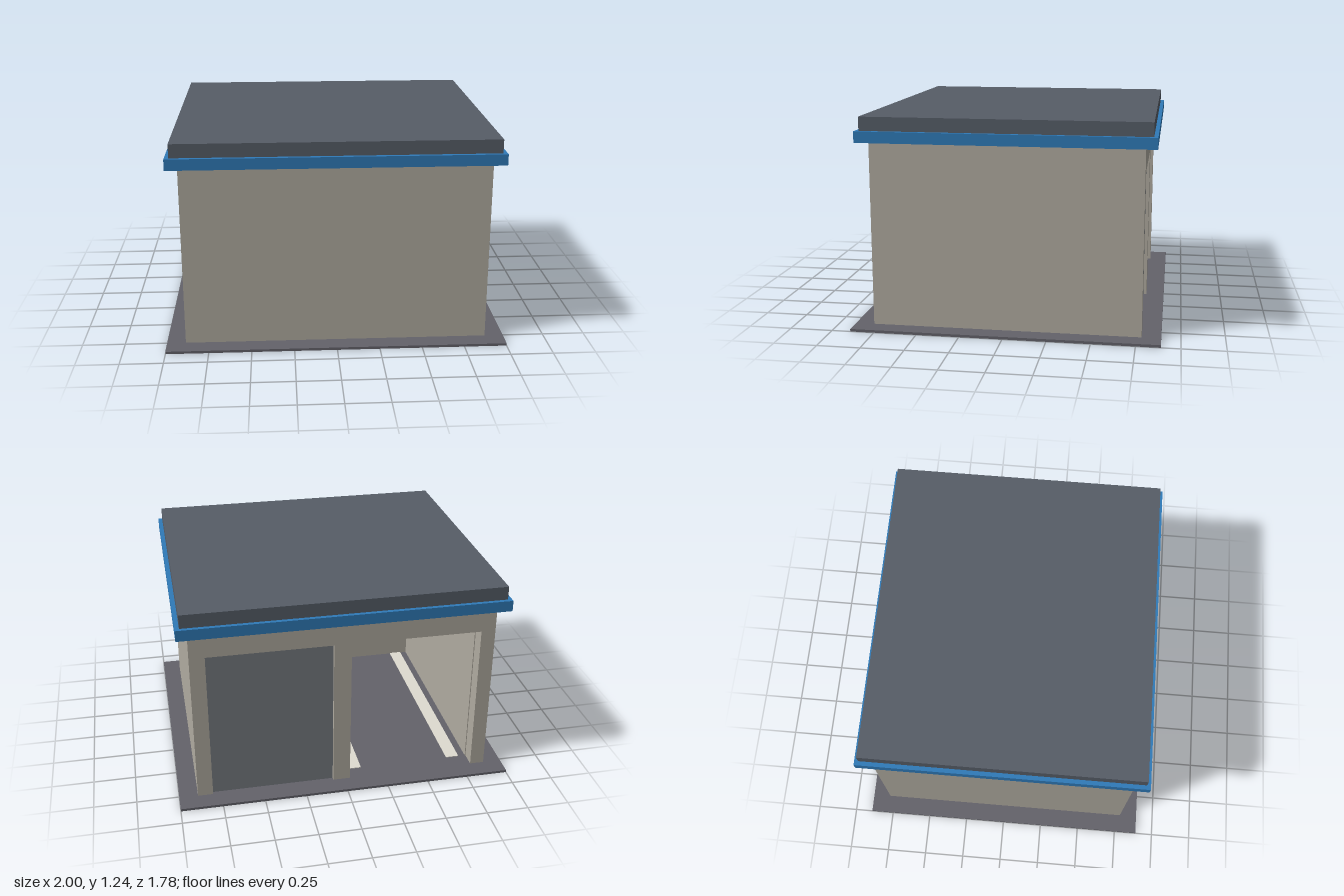
import * as THREE from 'three';

const material = (color) => new THREE.MeshStandardMaterial({ color });
const wallMat = material(0xb0aba0);
const slabMat = material(0x63626a);
const trimMat = material(0x2f7ab8);
const roofMat = material(0x565d67);
const doorMat = material(0x757a80);
const lineMat = material(0xdedbd0);

// Box given by its minimum and maximum corners
function box(name, mat, [x0, y0, z0], [x1, y1, z1]) {
  const mesh = new THREE.Mesh(new THREE.BoxGeometry(x1 - x0, y1 - y0, z1 - z0), mat);
  mesh.position.set((x0 + x1) / 2, (y0 + y1) / 2, (z0 + z1) / 2);
  mesh.name = name;
  return mesh;
}

export function createModel() {
  const garage = new THREE.Group();
  garage.name = 'garage';

  const W = 0.89, D = 0.78, T = 0.09;          // half width, half depth, wall thickness
  const floorY = 0.015, wallTop = 1.095, doorTop = 0.945;
  const openBay = [-0.805, -0.035], closedBay = [0.068, 0.8];

  // Ground slab
  garage.add(box('slab', slabMat, [-1, 0, -0.89], [1, floorY, 0.89]));

  // Closed walls
  garage.add(box('frontWall', wallMat, [-W, floorY, D - T], [W, wallTop, D]));
  garage.add(box('leftWall', wallMat, [W - T, floorY, -D + T], [W, wallTop, D - T]));
  garage.add(box('rightWall', wallMat, [-W, floorY, -D + T], [-W + T, wallTop, D - T]));

  // Back wall with two door openings cut up from the floor
  const outline = new THREE.Shape();
  outline.moveTo(-W, floorY);
  for (const [a, b] of [openBay, closedBay]) {
    outline.lineTo(a, floorY);
    outline.lineTo(a, doorTop);
    outline.lineTo(b, doorTop);
    outline.lineTo(b, floorY);
  }
  outline.lineTo(W, floorY);
  outline.lineTo(W, wallTop);
  outline.lineTo(-W, wallTop);
  const backWall = new THREE.Mesh(
    new THREE.ExtrudeGeometry(outline, { depth: T, bevelEnabled: false }), wallMat);
  backWall.position.z = -D;
  backWall.name = 'backWall';
  garage.add(backWall);

  // Closed door, slightly recessed in its opening
  garage.add(box('closedDoor', doorMat,
    [closedBay[0], floorY, -D + 0.02], [closedBay[1], doorTop, -D + 0.05]));

  // Pair of painted floor strips in each bay
  for (const side of [-1, 1]) {
    for (const offset of [0.085, 0.717]) {
      const x = side * offset;
      garage.add(box('floorStrip', lineMat,
        [x - 0.04, floorY, -0.69], [x + 0.04, floorY + 0.004, 0.69]));
    }
  }

  // Fascia band and flat roof
  garage.add(box('fascia', trimMat, [-0.955, wallTop, -0.845], [0.955, 1.16, 0.845]));
  garage.add(box('roof', roofMat, [-0.93, 1.16, -0.822], [0.93, 1.24, 0.822]));

  return garage;
}
